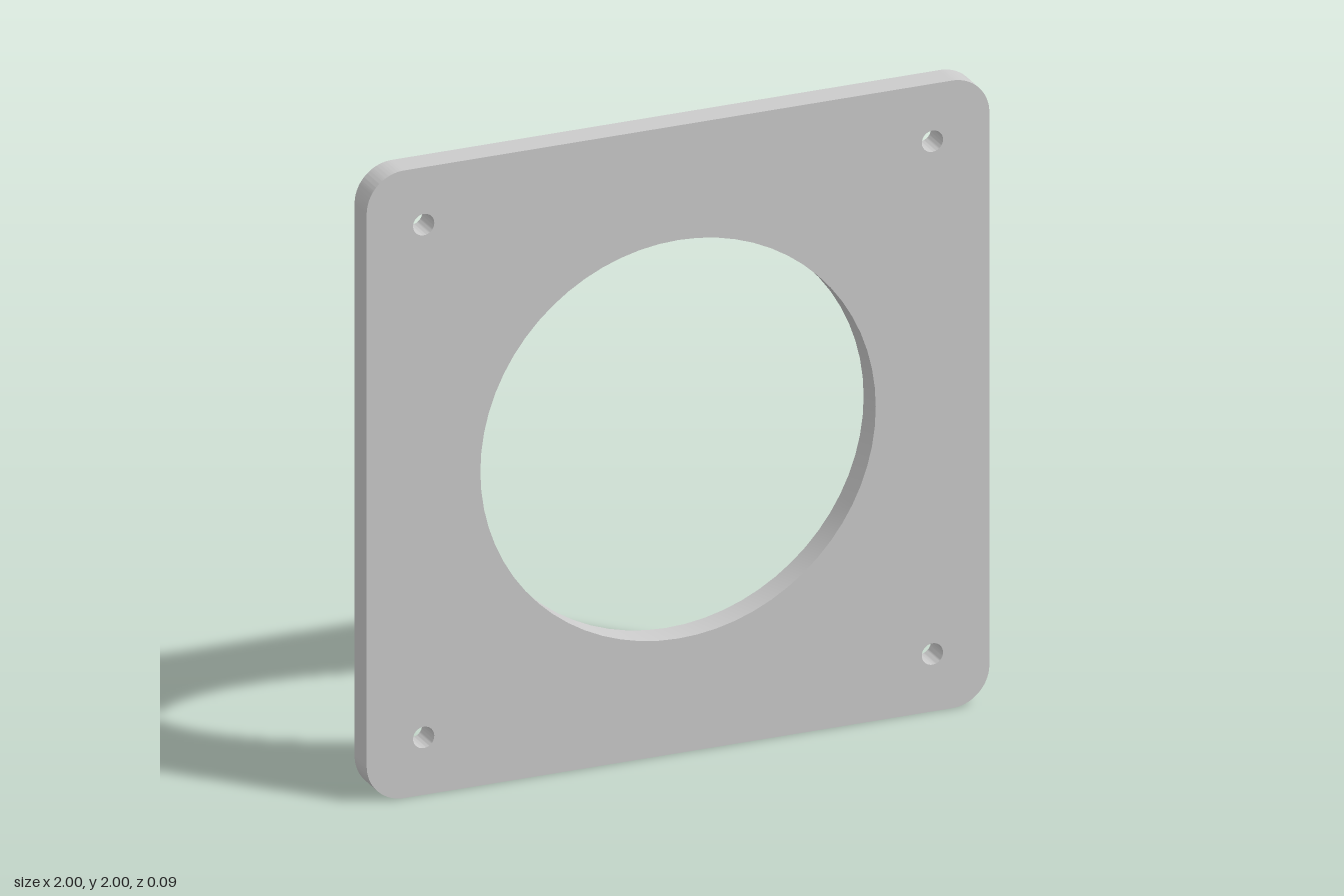
import * as THREE from 'three';
import { toCreasedNormals } from 'three/addons/utils/BufferGeometryUtils.js';

const HALF = 1, CORNER = 0.12, THICKNESS = 0.09;
const BORE_RADIUS = 0.635, BOLT_RADIUS = 0.034, BOLT_OFFSET = 0.817;

// Square outline with rounded corners, drawn counter-clockwise
function roundedSquare(half, radius) {
  const shape = new THREE.Shape();
  const c = half - radius;
  [[c, -c], [c, c], [-c, c], [-c, -c]].forEach(([x, y], i) => {
    const start = (i - 1) * Math.PI / 2;
    shape.absarc(x, y, radius, start, start + Math.PI / 2, false);
  });
  shape.closePath();
  return shape;
}

function circularHole(x, y, radius) {
  return new THREE.Path().absarc(x, y, radius, 0, Math.PI * 2, true);
}

export function createModel() {
  const group = new THREE.Group();
  group.name = 'mountingPlate';

  // Plate with a large central bore and four bolt holes
  const outline = roundedSquare(HALF, CORNER);
  outline.holes.push(circularHole(0, 0, BORE_RADIUS));
  for (const sx of [-1, 1]) {
    for (const sy of [-1, 1]) {
      outline.holes.push(circularHole(sx * BOLT_OFFSET, sy * BOLT_OFFSET, BOLT_RADIUS));
    }
  }

  const extruded = new THREE.ExtrudeGeometry(outline, {
    depth: THICKNESS, bevelEnabled: false, curveSegments: 32,
  });
  extruded.translate(0, HALF, -THICKNESS / 2);

  // Smooth the curved walls, keep the rims sharp
  const plate = new THREE.Mesh(
    toCreasedNormals(extruded, Math.PI / 6),
    new THREE.MeshStandardMaterial({ color: 0xcccccc }),
  );
  plate.name = 'plate';
  group.add(plate);
  return group;
}
